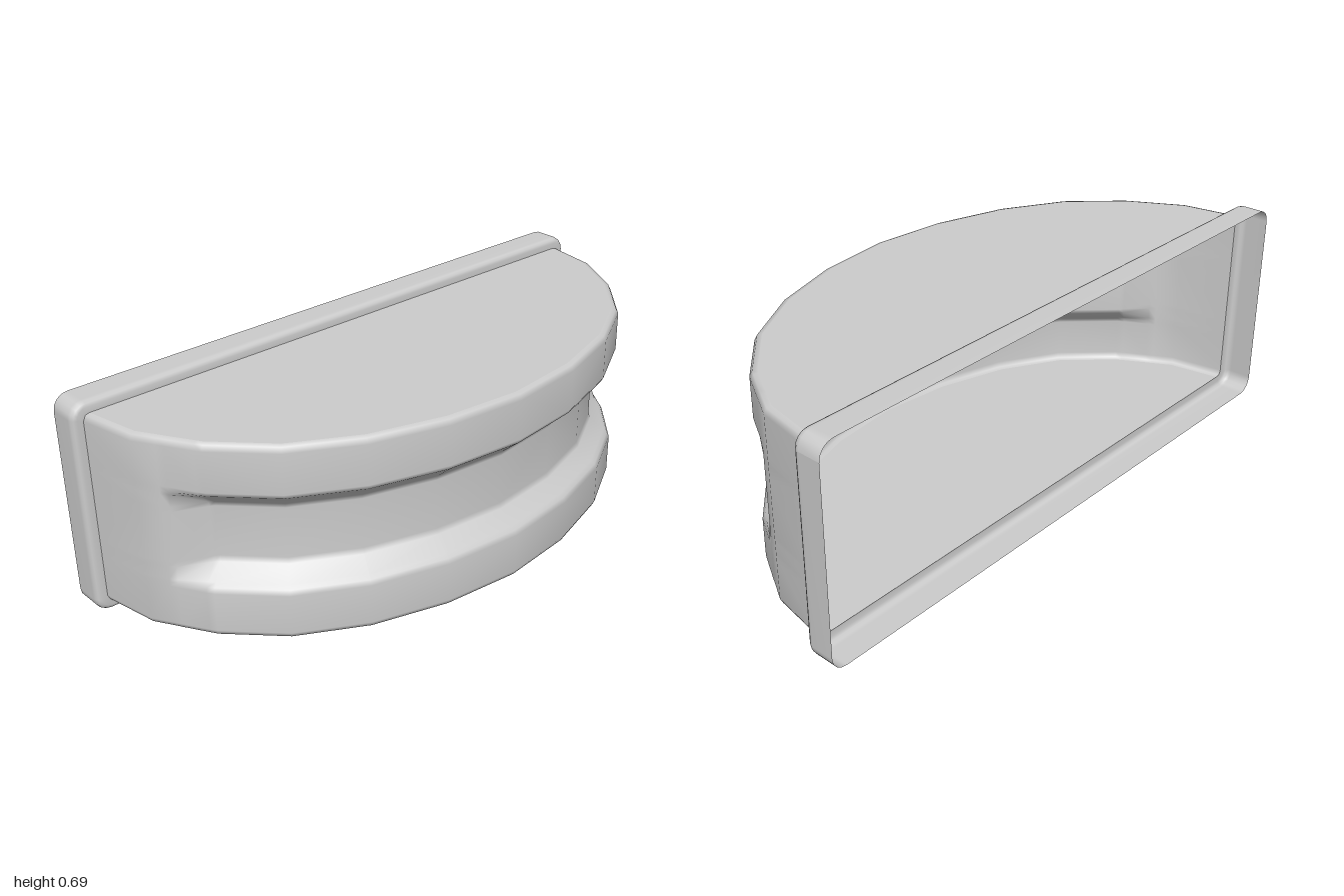
import * as THREE from 'three';

const BACK = -0.413, STEP = -0.317; // open back edge, front of the flange
const MID = 0.3425, HALF_H = 0.3425;

const material = new THREE.MeshStandardMaterial({ color: 0xcccccc, side: THREE.DoubleSide });

// Smooth skin over rows of points; flip(i, j) picks the other diagonal of a cell
function skin(rows, flip = () => false) {
  const n = rows[0].length, index = [];
  for (let j = 0; j < rows.length - 1; j++) {
    for (let i = 0; i < n - 1; i++) {
      const a = j * n + i, b = a + 1, c = b + n, d = a + n;
      if (flip(i, j)) index.push(a, b, d, b, c, d);
      else index.push(a, b, c, a, c, d);
    }
  }
  const geo = new THREE.BufferGeometry();
  geo.setAttribute('position', new THREE.Float32BufferAttribute(rows.flat(2), 3));
  geo.setIndex(index);
  geo.computeVertexNormals();
  return geo;
}

// Half of the plan outline, from centre to side: x, z, groove strength
const half = [
  [0, 0.412, 1], [0.25, 0.385, 1], [0.485, 0.313, 1], [0.685, 0.198, 1],
  [0.83, 0.045, 1], [0.842, 0.025, 0.9], [0.885, -0.05, 0.08], [0.897, -0.072, 0],
  [0.933, -0.135, 0], [0.965, STEP, 0],
];
const outline = [...half.slice(1).reverse().map(([x, z, g]) => [-x, z, g]), ...half];

// Outline point moved inwards by d along its mitred normal
function inset(i, d) {
  const [x, z] = outline[i], last = outline.length - 1;
  const normal = (a, b) => new THREE.Vector2(a[1] - b[1], b[0] - a[0]).normalize();
  const n0 = normal(outline[Math.max(i - 1, 0)], outline[Math.max(i, 1)]);
  const n1 = normal(outline[Math.min(i, last - 1)], outline[Math.min(i + 1, last)]);
  const n = n0.clone().add(n1).normalize();
  n.divideScalar(n.dot(n0));
  const end = i === 0 || i === last;
  return [x - n.x * d, end ? STEP : z - n.y * d];
}

// Lower half of the wall profile: height, edge rounding, groove depth
const lower = [
  [0.035, 0.022, 0], [0.039, 0.008, 0], [0.055, 0, 0], [0.18, 0, 0], [0.195, 0, 0.008],
  [0.205, 0, 0.02], [0.245, 0, 0.066], [0.262, 0, 0.073],
];
const profile = [...lower, ...lower.slice().reverse().map(([y, r, g]) => [2 * MID - y, r, g])];

// Curved wall with the recessed grip
function wall() {
  const rows = profile.map(([y, r, depth]) => outline.map((p, i) => {
    const [x, z] = inset(i, r + depth * p[2]);
    return [x, y, z];
  }));
  return skin(rows, (i, j) => (i < outline.length / 2) === (j > profile.length / 2));
}

// Flat half-round plate closing the top or the bottom
function plate(side) {
  const pts = outline.map((p, i) => inset(i, lower[0][1]))
    .map(([x, z]) => new THREE.Vector2(x, -side * z));
  const geo = new THREE.ShapeGeometry(new THREE.Shape(pts));
  geo.rotateX(-side * Math.PI / 2);
  geo.translate(0, MID + side * (MID - lower[0][0]), 0);
  return geo;
}

// Closed rounded rectangle, inset from the flange's outer size
function ring(d, z) {
  const r = Math.max(0.048 - d, 0.02), w = 1 - d - r, h = HALF_H - d - r, pts = [];
  [[1, 1], [-1, 1], [-1, -1], [1, -1]].forEach(([sx, sy], q) => {
    for (let k = 0; k <= 4; k++) {
      const a = (q + k / 4) * Math.PI / 2;
      pts.push([sx * w + r * Math.cos(a), MID + sy * h + r * Math.sin(a), z]);
    }
  });
  return [...pts, pts[0]];
}

// Flange skirt, open at the back, with a rounded front edge
function flange() {
  const section = [
    [0, BACK], [0, STEP - 0.022], [0.002, STEP - 0.012], [0.007, STEP - 0.004],
    [0.017, STEP], [0.037, STEP],
  ];
  return skin(section.map(([d, z]) => ring(d, z)));
}

export function createModel() {
  const model = new THREE.Group();
  model.name = 'cupHandle';
  const add = (name, geo) => {
    const mesh = new THREE.Mesh(geo, material);
    mesh.name = name;
    model.add(mesh);
  };
  add('groovedWall', wall());
  add('topPlate', plate(1));
  add('bottomPlate', plate(-1));
  add('flange', flange());
  return model;
}
